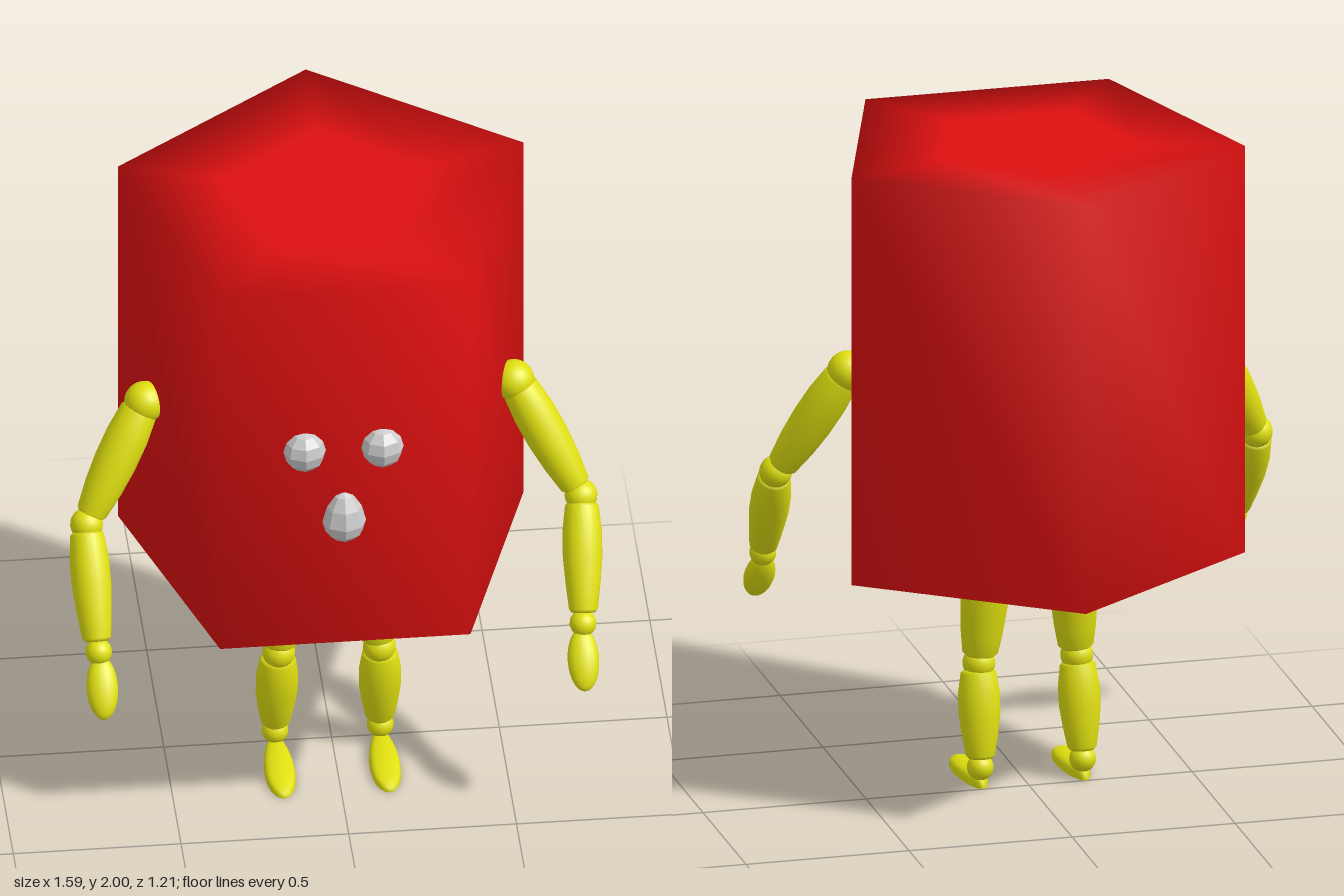
import * as THREE from 'three';

const red = new THREE.MeshStandardMaterial({ color: 0xdd1010 });
const yellow = new THREE.MeshStandardMaterial({ color: 0xe0e010 });
const grey = new THREE.MeshStandardMaterial({ color: 0xcccccc, flatShading: true });
const CX = -0.015; // mirror plane of the figure

function add(parent, name, geometry, material, x = 0, y = 0, z = 0) {
  const mesh = new THREE.Mesh(geometry, material);
  mesh.name = name;
  mesh.position.set(x, y, z);
  parent.add(mesh);
  return mesh;
}

// Five-sided prism with inset rings on both caps and shared, smooth normals
function prismGeometry() {
  const rings = [[0, 0.73], [0.32, 0.73], [0.635, 0.73], [0.635, 2], [0.32, 2], [0, 2]];
  const positions = [], index = [];
  rings.forEach(([r, y], level) => {
    for (let k = 0; k < 5; k++) {
      const t = k * Math.PI * 2 / 5;
      positions.push(r * Math.sin(t), y, -r * Math.cos(t));
      if (level === rings.length - 1) continue;
      const a = level * 5 + k, b = level * 5 + (k + 1) % 5;
      if (rings[level + 1][0] > 0) index.push(a, a + 5, b + 5);
      else index.push(a, a + 5, b);
      if (r > 0 && rings[level + 1][0] > 0) index.push(a, b + 5, b);
    }
  });
  const g = new THREE.BufferGeometry();
  g.setAttribute('position', new THREE.Float32BufferAttribute(positions, 3));
  g.setIndex(index);
  g.computeVertexNormals();
  return g;
}

// Rounded limb piece from a lower point to an upper point; radii run bottom to top
function limb(parent, name, lower, upper, radii, widen = 1) {
  const a = new THREE.Vector3(...lower), b = new THREE.Vector3(...upper);
  const dir = b.clone().sub(a), length = dir.length();
  const n = radii.length - 1;
  const profile = [new THREE.Vector2(0, 0), new THREE.Vector2(radii[0] * 0.8, 0.002)];
  radii.forEach((r, i) => profile.push(new THREE.Vector2(r, 0.012 + (length - 0.024) * i / n)));
  profile.push(new THREE.Vector2(radii[n] * 0.8, length - 0.002), new THREE.Vector2(0, length));
  const mesh = add(parent, name, new THREE.LatheGeometry(profile, 20), yellow, ...lower);
  mesh.quaternion.setFromUnitVectors(new THREE.Vector3(0, 1, 0), dir.normalize());
  mesh.scale.x = widen;
}

function joint(parent, name, r, p) {
  add(parent, name, new THREE.SphereGeometry(r, 20, 14), yellow, ...p);
}

// Thin sole, flat underneath, lower towards the toe
function footGeometry() {
  const g = new THREE.SphereGeometry(1, 24, 14);
  const p = g.attributes.position;
  for (let i = 0; i < p.count; i++) {
    const x = p.getX(i), y = Math.max(0, p.getY(i)), z = p.getZ(i);
    p.setXYZ(i, x * (0.045 + 0.008 * z), Math.pow(y, 0.5) * (0.036 - 0.009 * z), z * 0.15);
  }
  g.computeVertexNormals();
  return g;
}

function buildArm(side) {
  const arm = new THREE.Group();
  const p = (x, y, z) => [CX + side * x, y, z];
  joint(arm, 'shoulder', 0.062, p(0.55, 1.315, 0.08));
  limb(arm, 'upperArm', p(0.725, 0.995, 0.195), p(0.563, 1.30, 0.085), [0.046, 0.058, 0.064, 0.064, 0.056]);
  joint(arm, 'elbow', 0.049, p(0.737, 0.975, 0.21));
  limb(arm, 'forearm', p(0.725, 0.68, 0.40), p(0.738, 0.96, 0.22), [0.043, 0.052, 0.059, 0.059, 0.05]);
  joint(arm, 'wrist', 0.04, p(0.722, 0.655, 0.415));
  // Hand: flattened egg pointing down and forward
  const hand = add(arm, 'hand', new THREE.SphereGeometry(1, 20, 14), yellow, ...p(0.717, 0.565, 0.475));
  hand.scale.set(0.047, 0.095, 0.034);
  hand.rotation.x = -0.62;
  return arm;
}

function buildLeg(side) {
  const leg = new THREE.Group();
  const p = (x, y, z) => [CX + side * x, y, z];
  joint(leg, 'hip', 0.064, p(0.13, 0.70, 0.05));
  limb(leg, 'thigh', p(0.147, 0.395, 0.072), p(0.132, 0.665, 0.05), [0.047, 0.055, 0.06, 0.064, 0.064], 1.15);
  joint(leg, 'knee', 0.049, p(0.15, 0.372, 0.072));
  limb(leg, 'shin', p(0.156, 0.085, 0.03), p(0.152, 0.355, 0.07), [0.039, 0.049, 0.056, 0.056, 0.048], 1.12);
  joint(leg, 'ankle', 0.04, p(0.157, 0.06, 0.03));
  add(leg, 'foot', footGeometry(), yellow, ...p(0.157, 0, 0.15));
  return leg;
}

export function createModel() {
  const model = new THREE.Group();
  add(model, 'body', prismGeometry(), red, CX, 0, 0.03);

  // Mirrored limbs
  for (const side of [1, -1]) {
    const label = side > 0 ? 'left' : 'right';
    const arm = buildArm(side), leg = buildLeg(side);
    arm.name = label + 'Arm';
    leg.name = label + 'Leg';
    model.add(arm, leg);
    add(model, label + 'Eye', new THREE.SphereGeometry(0.067, 8, 6), grey, -0.02 + side * 0.116, 1.43, 0.535);
  }

  // Nose: faceted ball drawn up to a narrow top
  const nose = new THREE.SphereGeometry(0.068, 8, 6);
  const v = nose.attributes.position;
  for (let i = 0; i < v.count; i++) {
    const y = v.getY(i);
    if (y > 0) {
      const k = 1 - 0.15 * y / 0.068;
      v.setXYZ(i, v.getX(i) * k, y * 1.55, v.getZ(i) * k);
    }
  }
  nose.computeVertexNormals();
  add(model, 'nose', nose, grey, -0.018, 1.17, 0.537);
  return model;
}
